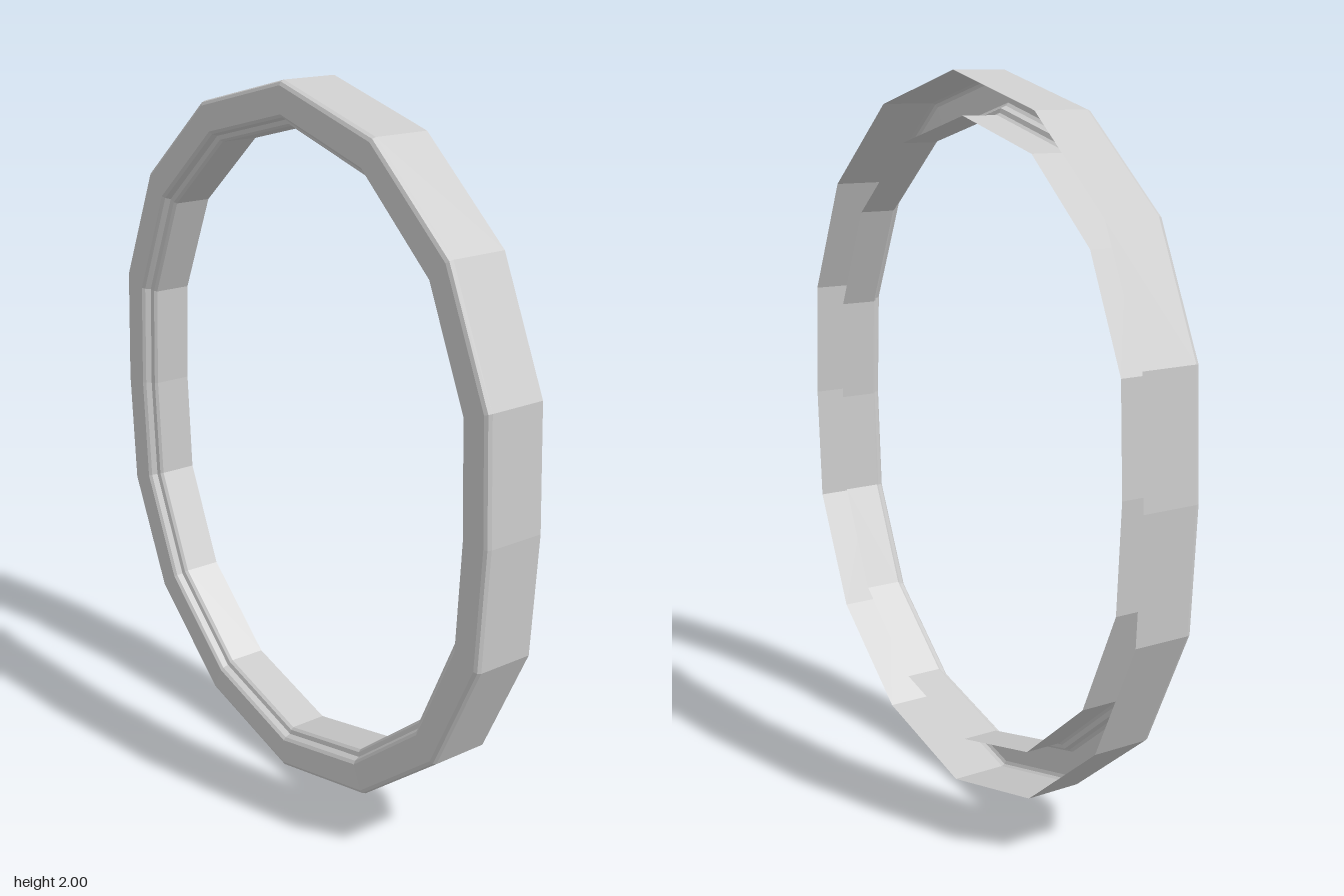
import * as THREE from 'three';

// Quarter outline of the oval, from the side to the top (relative to its centre)
const quarter = [[0.83, 0], [0.813, 0.335], [0.662, 0.665], [0.373, 0.905], [0, 1]];
const HALF_W = 0.83, HALF_H = 1;

// Channel section, open at the back: [inset from the outer edge, z]
const section = [
  [0, -0.087], [0, 0.072], [0.004, 0.082], [0.013, 0.087],
  [0.086, 0.085], [0.094, 0.078], [0.1, 0.062], [0.112, 0.058],
  [0.118, 0.05], [0.118, -0.058],
];

// Mirror the quarter into the full outline, counter-clockwise from +x
function ovalOutline() {
  const right = quarter.slice(0, 4);
  const top = quarter.slice(1).reverse().map(([x, y]) => [-x, y]);
  const upper = [...right, ...top];
  return [...upper, ...upper.map(([x, y]) => [-x, -y])];
}

// Sweep the section round the outline
function sweepSection(outline, profile) {
  const pos = [];
  const point = (i, j) => {
    const [x, y] = outline[i % outline.length];
    const [inset, z] = profile[j];
    return [x * (1 - inset / HALF_W), y * (1 - inset / HALF_H) + 1, z];
  };
  for (let i = 0; i < outline.length; i++) {
    for (let j = 0; j < profile.length - 1; j++) {
      const a = point(i, j), b = point(i + 1, j);
      const c = point(i + 1, j + 1), d = point(i, j + 1);
      pos.push(...a, ...b, ...c, ...a, ...c, ...d);
    }
  }
  const geo = new THREE.BufferGeometry();
  geo.setAttribute('position', new THREE.Float32BufferAttribute(pos, 3));
  geo.computeVertexNormals();
  return geo;
}

export function createModel() {
  const group = new THREE.Group();
  group.name = 'ovalFrame';
  const material = new THREE.MeshStandardMaterial({
    color: 0xcccccc, flatShading: true, side: THREE.DoubleSide,
  });
  // Hollow rim with a stepped inner lip
  const rim = new THREE.Mesh(sweepSection(ovalOutline(), section), material);
  rim.name = 'rim';
  group.add(rim);
  return group;
}
